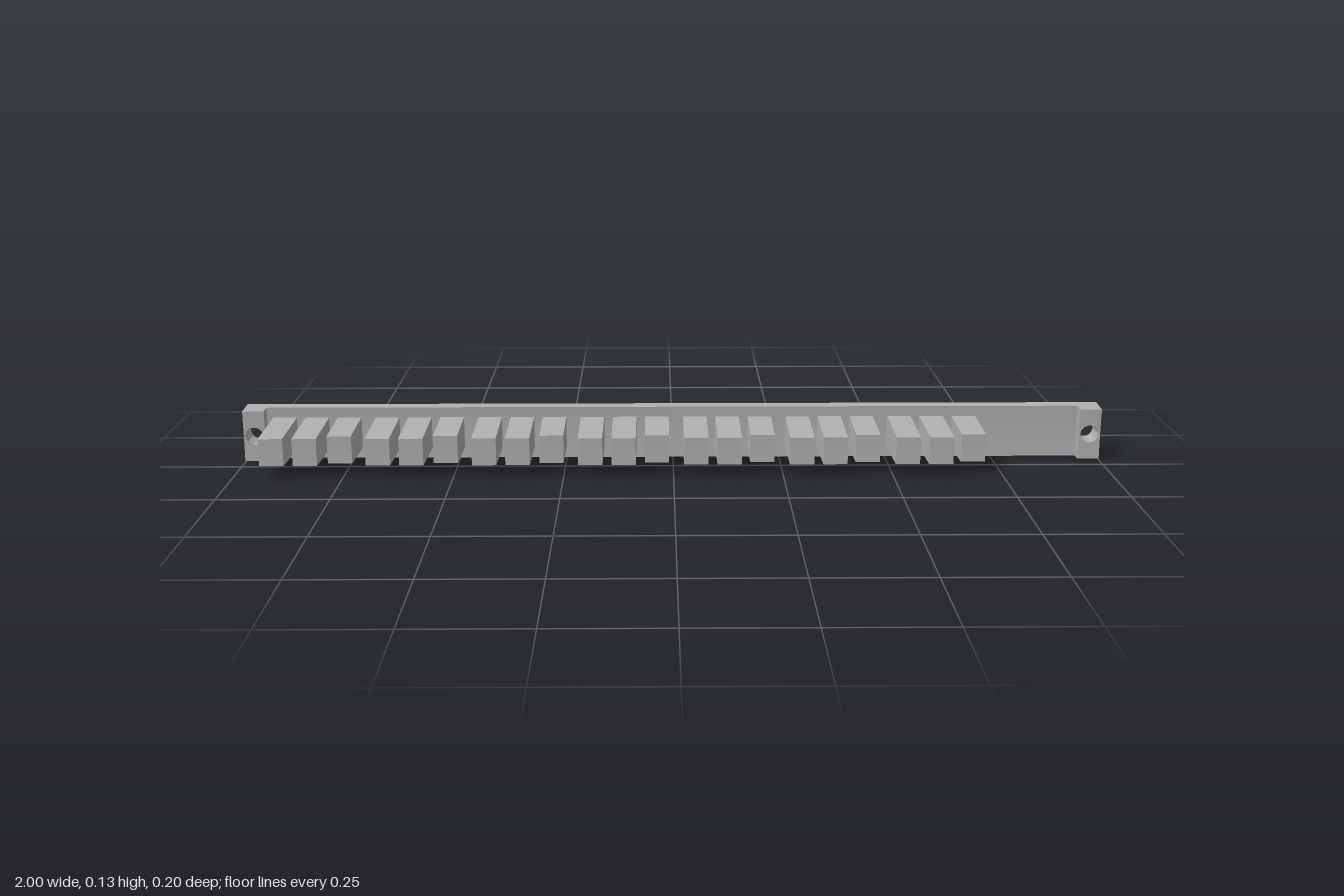
import * as THREE from 'three';
import { toCreasedNormals } from 'three/addons/utils/BufferGeometryUtils.js';

// Every part is a sector of rings around one x-parallel axis in front of the rail
const AXIS_Y = 0.0625, AXIS_Z = 1.05;
const R_BACK = 1.1475, R_FRONT = 1.12, R_PAD = 1.09, R_LONG = 0.9525, R_SHORT = 0.973;
const RAIL_ANGLE = 0.0545, TOOTH_ANGLE = 0.0328;

// Bends a straight block: y is an angle, -z is a radius
function bend(geometry) {
  const p = geometry.attributes.position;
  for (let i = 0; i < p.count; i++) {
    const a = p.getY(i), r = -p.getZ(i);
    p.setXYZ(i, p.getX(i), AXIS_Y + r * Math.sin(a), AXIS_Z - r * Math.cos(a));
  }
  geometry.computeVertexNormals();
  return geometry;
}

function sectorBlock(x, width, rIn, rOut, angle) {
  const g = new THREE.BoxGeometry(width, angle * 2, rOut - rIn, 1, 8, 1);
  g.translate(x, 0, -(rIn + rOut) / 2);
  return bend(g);
}

// End block with a round screw hole through it
function drilledBlock(x0, x1, holeX) {
  const pts = [], n = 8;
  for (let i = 0; i <= n; i++) pts.push(new THREE.Vector2(x1, RAIL_ANGLE * (2 * i / n - 1)));
  for (let i = n; i >= 0; i--) pts.push(new THREE.Vector2(x0, RAIL_ANGLE * (2 * i / n - 1)));
  const shape = new THREE.Shape(pts);
  const hole = new THREE.Path();
  hole.absellipse(holeX, 0, 0.021, 0.021 / R_FRONT, 0, Math.PI * 2, true);
  shape.holes.push(hole);
  const g = new THREE.ExtrudeGeometry(shape, {
    depth: R_BACK - R_PAD, bevelEnabled: false, curveSegments: 24,
  });
  g.translate(0, 0, -R_BACK);
  return toCreasedNormals(bend(g), 0.6);
}

export function createModel() {
  const group = new THREE.Group();
  const grey = new THREE.MeshStandardMaterial({ color: 0xb0b0b0 });
  grey.name = 'grey';
  const add = (name, geometry) => {
    const mesh = new THREE.Mesh(geometry, grey);
    mesh.name = name;
    group.add(mesh);
  };

  // Thin curved rail and its thicker drilled ends
  add('rail', sectorBlock(0, 1.9, R_FRONT, R_BACK, RAIL_ANGLE));
  add('rightEndBlock', drilledBlock(-1, -0.95, -0.975));
  add('leftEndBlock', drilledBlock(0.95, 1, 0.975));

  // Seven groups of teeth: two long, one short
  for (let i = 0; i < 7; i++) {
    for (let j = 0; j < 3; j++) {
      const x = -0.908 + i * 0.2398 + j * 0.0755;
      const short = j === 2;
      add(short ? 'shortTooth' : 'longTooth',
        sectorBlock(x, 0.055, short ? R_SHORT : R_LONG, R_FRONT + 0.002, TOOTH_ANGLE));
    }
  }
  return group;
}
